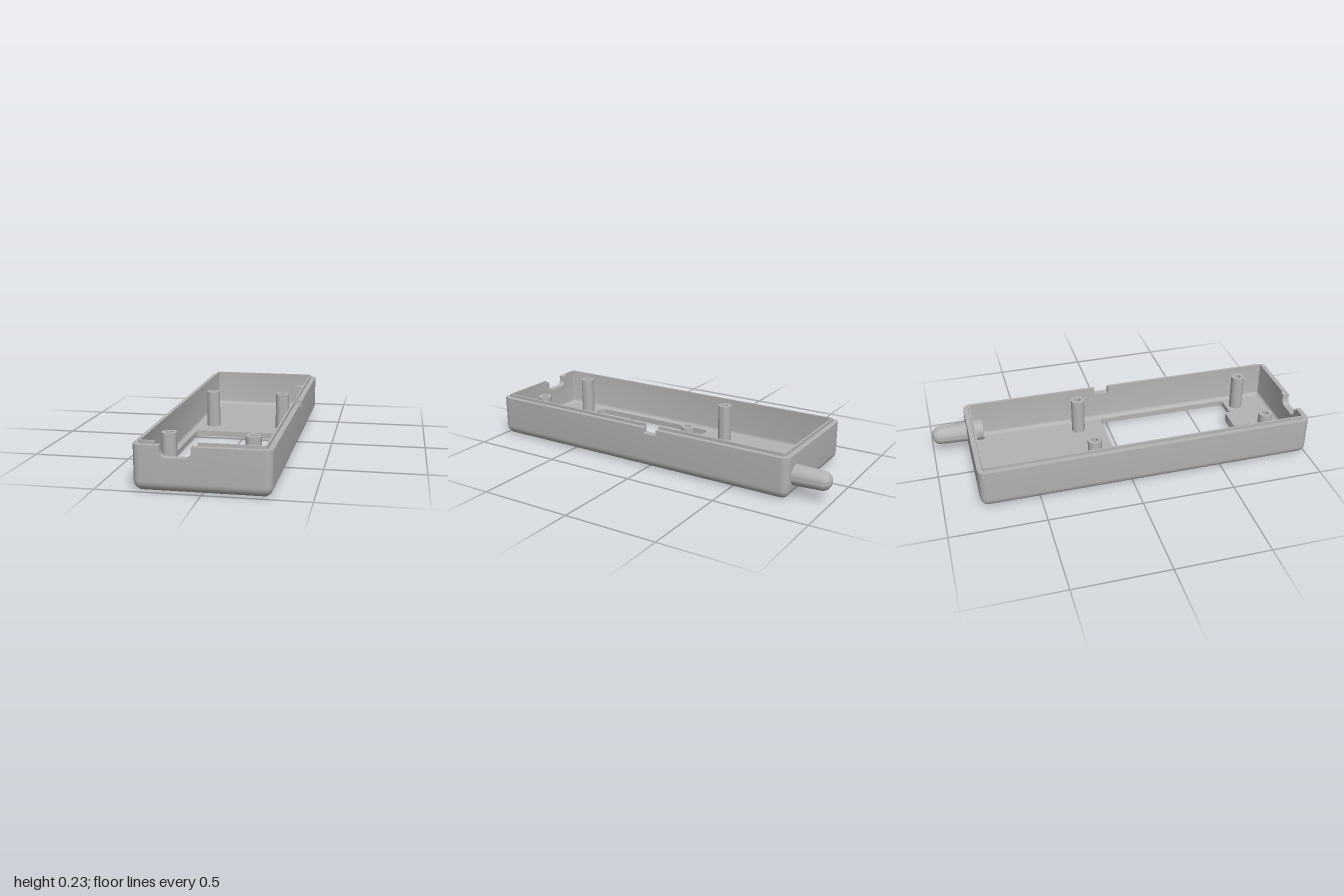
import * as THREE from 'three';
import { toCreasedNormals } from 'three/addons/utils/BufferGeometryUtils.js';

const HALF_W = 0.33, Z_BACK = -0.81, Z_FRONT = 1, CORNER_R = 0.04;
const FLOOR = 0.03, RIM = 0.22, LIP = 0.235, EDGE_INSET = 0.05;

// The case narrows slightly towards the front
const taper = (x, z) => x * (1 - 0.03 * (z - Z_BACK) / (Z_FRONT - Z_BACK));

// A column is one station round the wall: at(inset) gives its plan position
function cornerColumns(sx, sz, startDeg) {
  const cols = [];
  for (let k = 0; k <= 8; k++) {
    const a = THREE.MathUtils.degToRad(startDeg + k * 90 / 8);
    const at = (inset) => {
      const r = Math.max(CORNER_R - inset, 0.006);
      const x = sx * (HALF_W - inset - r) + r * Math.cos(a);
      const z = (sz > 0 ? Z_FRONT : Z_BACK) - sz * (inset + r) + r * Math.sin(a);
      return [taper(x, z), z];
    };
    cols.push({ at, rim: RIM, lip: LIP });
  }
  return cols;
}
const frontColumn = (x, rim, lip) => ({ at: (i) => [x, Z_FRONT - i], rim, lip });
const sideColumn = (z, rim, lip) => ({ at: (i) => [taper(HALF_W - i, z), z], rim, lip });

// Rounded-bottom socket notch in the front wall, with a wider gap in the lip
function frontNotch() {
  const mid = -0.1175, half = 0.0725, r = 0.03, bottom = 0.165;
  const side = [[0.0975, RIM, LIP], [0.0975, RIM, RIM], [half, RIM, RIM]];
  for (let k = 0; k <= 6; k++) {
    const a = k * Math.PI / 12;
    const h = bottom + r - r * Math.sin(a);
    side.push([half - r + r * Math.cos(a), h, h]);
  }
  return [
    ...side.map(([d, h, l]) => frontColumn(mid + d, h, l)),
    ...side.slice().reverse().map(([d, h, l]) => frontColumn(mid - d, h, l)),
  ];
}

// Wall section: outer fillet, wall, ledge, lip, inner wall, inner fillet
function wallSection(col) {
  const pts = [];
  for (let k = 0; k <= 8; k++) {
    const a = k * Math.PI / 16;
    pts.push([EDGE_INSET * (1 - Math.sin(a)), 0.05 * (1 - Math.cos(a))]);
  }
  pts.push([0, col.rim], [0.027, col.rim], [0.027, col.lip], [0.037, col.lip]);
  for (let k = 0; k <= 5; k++) {
    const a = k * Math.PI / 10;
    pts.push([0.037 + 0.022 * (1 - Math.cos(a)), FLOOR + 0.022 * (1 - Math.sin(a))]);
  }
  return pts.map(([inset, y]) => {
    const [x, z] = col.at(inset);
    return new THREE.Vector3(x, y, z);
  });
}

function wallGeometry(cols) {
  const rings = cols.map(wallSection);
  const out = [];
  const tri = new THREE.Triangle();
  const add = (a, b, c) => {
    if (tri.set(a, b, c).getArea() > 1e-9) out.push(...a.toArray(), ...b.toArray(), ...c.toArray());
  };
  rings.forEach((ring, i) => {
    const next = rings[(i + 1) % rings.length];
    for (let j = 0; j < ring.length - 1; j++) {
      add(ring[j], ring[j + 1], next[j]);
      add(next[j], ring[j + 1], next[j + 1]);
    }
  });
  const geo = new THREE.BufferGeometry();
  geo.setAttribute('position', new THREE.Float32BufferAttribute(out, 3));
  return toCreasedNormals(geo, 0.6);
}

function roundedRect(target, x0, x1, z0, z1, r) {
  target.absarc(x1 - r, z1 - r, r, 0, Math.PI / 2);
  target.absarc(x0 + r, z1 - r, r, Math.PI / 2, Math.PI);
  target.absarc(x0 + r, z0 + r, r, Math.PI, Math.PI * 1.5);
  target.absarc(x1 - r, z0 + r, r, Math.PI * 1.5, Math.PI * 2);
  target.closePath();
  return target;
}

// Plan shape (x, z) extruded between two heights
function slab(shape, y0, y1) {
  const geo = new THREE.ExtrudeGeometry(shape, { depth: y1 - y0, bevelEnabled: false, curveSegments: 10 });
  geo.rotateX(Math.PI / 2).translate(0, y1, 0);
  return toCreasedNormals(geo, 0.6);
}

function lathe(points, segments) {
  const geo = new THREE.LatheGeometry(points.map(([r, y]) => new THREE.Vector2(r, y)), segments);
  return toCreasedNormals(geo, 0.6);
}

export function createModel() {
  const model = new THREE.Group();
  model.name = 'handsetCase';
  const plastic = new THREE.MeshStandardMaterial({ color: 0xb3b3b3 });
  plastic.name = 'grey plastic';
  const addPart = (name, geo, x = 0, y = 0, z = 0) => {
    const mesh = new THREE.Mesh(geo, plastic);
    mesh.name = name;
    mesh.position.set(x, y, z);
    model.add(mesh);
  };

  // Walls with the front socket notch and a small slot on the left side
  const corners = [[1, 1, 0], [-1, 1, 90], [-1, -1, 180], [1, -1, 270]].map((c) => cornerColumns(...c));
  const slot = [
    sideColumn(-0.06, RIM, LIP), sideColumn(-0.06, 0.19, 0.19),
    sideColumn(0.02, 0.19, 0.19), sideColumn(0.02, RIM, LIP),
  ];
  addPart('walls', wallGeometry([
    ...corners[0], ...frontNotch(), ...corners[1], ...corners[2], ...corners[3], ...slot,
  ]));

  // Floor with the large window and the screw holes
  const posts = [[-0.2, -0.18], [0.2, -0.18], [-0.2, 0.785], [0.2, 0.785]];
  const floor = new THREE.Shape(corners.flat().map((c) => new THREE.Vector2(...c.at(EDGE_INSET))));
  floor.holes.push(roundedRect(new THREE.Path(), -0.265, 0.265, -0.035, 0.725, 0.03));
  for (const [x, z] of posts) {
    floor.holes.push(new THREE.Path().absarc(x, z, 0.026, 0, Math.PI * 2, true));
  }
  addPart('floor', slab(floor, 0, FLOOR));

  // Hollow screw posts, counterbored from below
  const postGeo = lathe([
    [0.037, FLOOR - 0.005], [0.037, 0.23], [0.017, 0.23], [0.017, 0.02], [0.026, 0.02], [0.026, 0],
  ], 32);
  for (const [x, z] of posts) addPart('screwPost', postGeo, x, 0, z);

  // Small block overhanging the window's front edge
  addPart('windowBlock', slab(roundedRect(new THREE.Shape(), -0.073, 0.07, 0.665, 0.76, 0.012), FLOOR, 0.08));

  // Stub antenna through the back wall
  const profile = [[0, 0.72], [0.058, 0.72], [0.058, 0.785], [0.054, 0.785], [0.054, 0.81]];
  for (let k = 0; k <= 10; k++) {
    const a = k * Math.PI / 20;
    profile.push([0.049 * Math.cos(a), 0.951 + 0.049 * Math.sin(a)]);
  }
  profile[profile.length - 1][0] = 0;
  addPart('antenna', lathe(profile, 40).rotateX(-Math.PI / 2), 0.232, 0.11, 0);

  return model;
}
